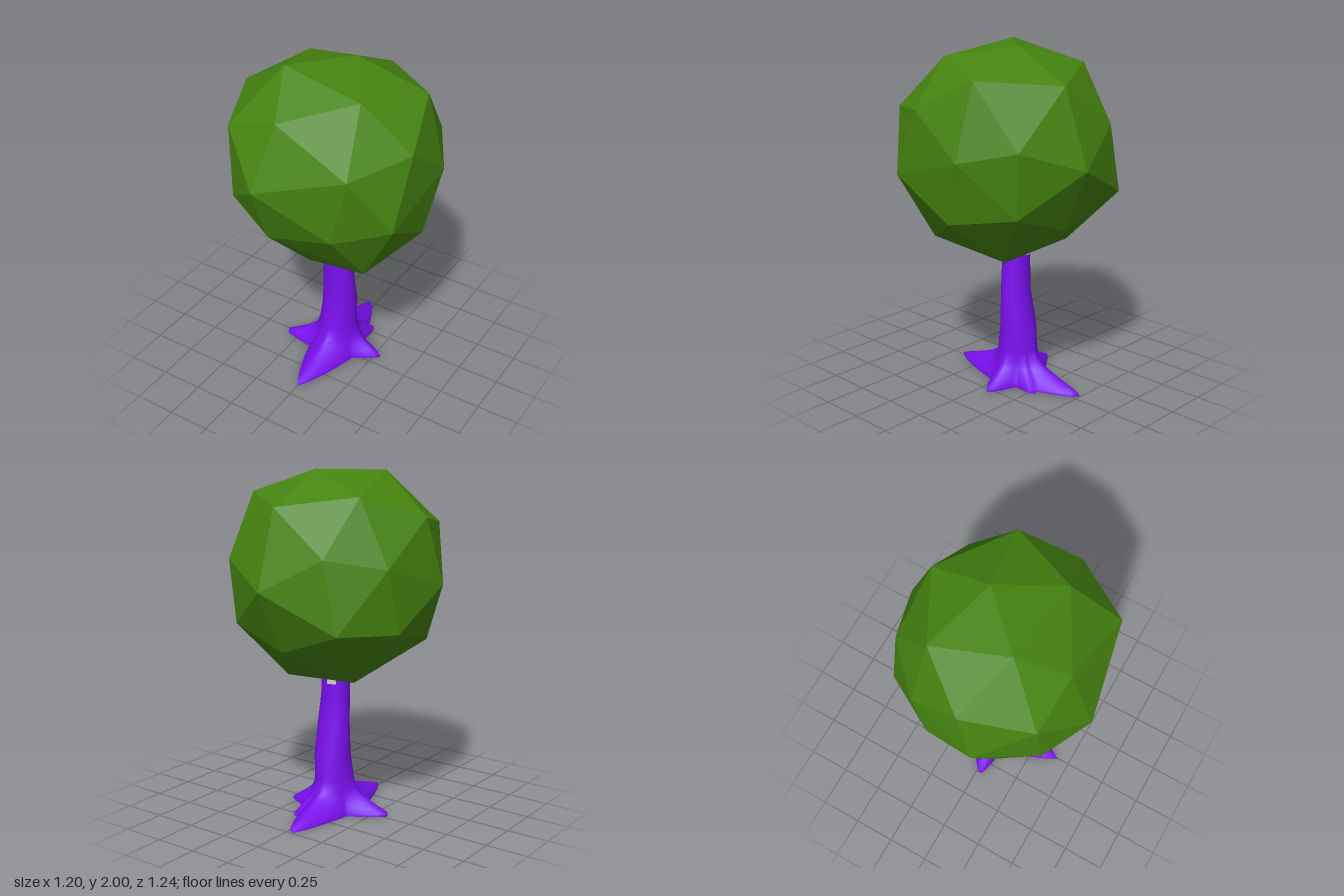
import * as THREE from 'three';
import { ConvexGeometry } from 'three/addons/geometries/ConvexGeometry.js';

const SIDES = 72;

// Roots as tip positions [x, z] with a half width at the trunk
const ROOTS = [
  [0.0, 0.42, 0.16], [-0.35, 0.03, 0.13], [-0.03, -0.51, 0.15],
  [0.12, -0.29, 0.11], [0.29, -0.07, 0.13],
];
const BASE = { x: 0, z: -0.045, r: 0.115 };

// Outline of the spread roots at a given angle around the trunk
function rootReach(angle) {
  let reach = 0.135;
  for (const [x, z, w] of ROOTS) {
    const dx = x - BASE.x, dz = z - BASE.z;
    const d = angle - Math.atan2(dx, dz);
    if (Math.cos(d) <= 0) continue;
    const p = 1.25;
    const sum = (Math.cos(d) / Math.hypot(dx, dz)) ** p + (Math.abs(Math.sin(d)) / w) ** p;
    reach = Math.max(reach, sum ** (-1 / p));
  }
  return reach;
}

// Rings from the ground up: [y, centre x, centre z, radius x, radius z, root spread]
const RINGS = [
  [0, 0, -0.045, 0.115, 0.115, 1],
  [0.018, 0, -0.045, 0.115, 0.115, 0.98],
  [0.045, 0, -0.045, 0.115, 0.115, 0.75],
  [0.075, 0, -0.045, 0.115, 0.115, 0.5],
  [0.105, 0, -0.045, 0.115, 0.115, 0.28],
  [0.14, 0, -0.045, 0.115, 0.115, 0.12],
  [0.2, 0, -0.045, 0.113, 0.114, 0.02],
  [0.35, 0.005, -0.055, 0.106, 0.105, 0],
  [0.55, 0.008, -0.037, 0.098, 0.077, 0],
  [0.7, 0, -0.031, 0.086, 0.08, 0],
  [0.9, 0, -0.03, 0.08, 0.08, 0],
];

function ringPoint([y, cx, cz, rx, rz, spread], j) {
  const a = (j / SIDES) * Math.PI * 2;
  const flare = (rootReach(a) - BASE.r) * spread;
  return [cx + Math.sin(a) * (rx + flare), y, cz + Math.cos(a) * (rz + flare)];
}

function trunkGeometry() {
  const pos = [], index = [];
  for (const ring of RINGS) for (let j = 0; j < SIDES; j++) pos.push(...ringPoint(ring, j));
  for (let i = 0; i < RINGS.length - 1; i++) {
    for (let j = 0; j < SIDES; j++) {
      const k = (j + 1) % SIDES;
      const a = i * SIDES + j, b = i * SIDES + k;
      index.push(a, b, b + SIDES, a, b + SIDES, a + SIDES);
    }
  }
  const g = new THREE.BufferGeometry();
  g.setAttribute('position', new THREE.Float32BufferAttribute(pos, 3));
  g.setIndex(index);
  g.computeVertexNormals();
  return g;
}

// Flat underside closing the root outline
function undersideGeometry() {
  const pos = [BASE.x, 0, BASE.z], index = [];
  for (let j = 0; j < SIDES; j++) {
    pos.push(...ringPoint(RINGS[0], j));
    index.push(0, 1 + ((j + 1) % SIDES), 1 + j);
  }
  const g = new THREE.BufferGeometry();
  g.setAttribute('position', new THREE.Float32BufferAttribute(pos, 3));
  g.setIndex(index);
  g.computeVertexNormals();
  return g;
}

// Corners of the faceted crown, an uneven 32-point ball
const CROWN = [
  [0.08, 2.0, -0.11], [-0.2, 1.99, 0.18], [0.3, 1.93, 0.23], [-0.08, 1.8, 0.45],
  [-0.13, 1.45, 0.62], [0.39, 1.63, 0.51], [-0.4, 1.69, 0.43], [-0.6, 1.385, 0.15],
  [0.57, 1.29, 0.34], [0.58, 1.68, 0.17], [0.6, 1.44, -0.16], [0.48, 1.86, -0.17],
  [0.43, 1.51, -0.45], [0.08, 1.38, -0.62], [0.09, 1.82, -0.47], [-0.26, 1.57, -0.5],
  [-0.51, 1.51, -0.26], [-0.32, 1.88, -0.25], [-0.55, 1.76, 0.05], [0.3, 1.23, 0.52],
  [-0.37, 1.27, 0.46], [-0.13, 1.09, 0.48], [0.36, 0.9, 0.27], [0.55, 1.07, -0.04],
  [0.24, 0.81, -0.17], [-0.03, 0.81, 0.22], [-0.25, 0.845, -0.2], [-0.47, 1.05, 0.2],
  [-0.53, 1.15, -0.18], [0.41, 1.14, -0.42], [0.06, 1.02, -0.45], [-0.35, 1.17, -0.5],
];

export function createModel() {
  const group = new THREE.Group();
  const bark = new THREE.MeshStandardMaterial({ color: 0x7a10ee });
  const leaf = new THREE.MeshStandardMaterial({ color: 0x468410, flatShading: true });
  const grey = new THREE.MeshStandardMaterial({ color: 0xcccccc, side: THREE.DoubleSide });

  const add = (name, geometry, material) => {
    const mesh = new THREE.Mesh(geometry, material);
    mesh.name = name;
    group.add(mesh);
    return mesh;
  };

  add('trunkAndRoots', trunkGeometry(), bark);
  add('rootUnderside', undersideGeometry(), bark);
  add('crown', new ConvexGeometry(CROWN.map((p) => new THREE.Vector3(...p))), leaf);

  // Small bare patch at the back of the trunk, just below the crown
  const patch = new THREE.CylinderGeometry(0.083, 0.085, 0.06, 4, 1, true, Math.PI, 0.65);
  add('barePatch', patch, grey).position.set(0, 0.81, -0.03);

  return group;
}
